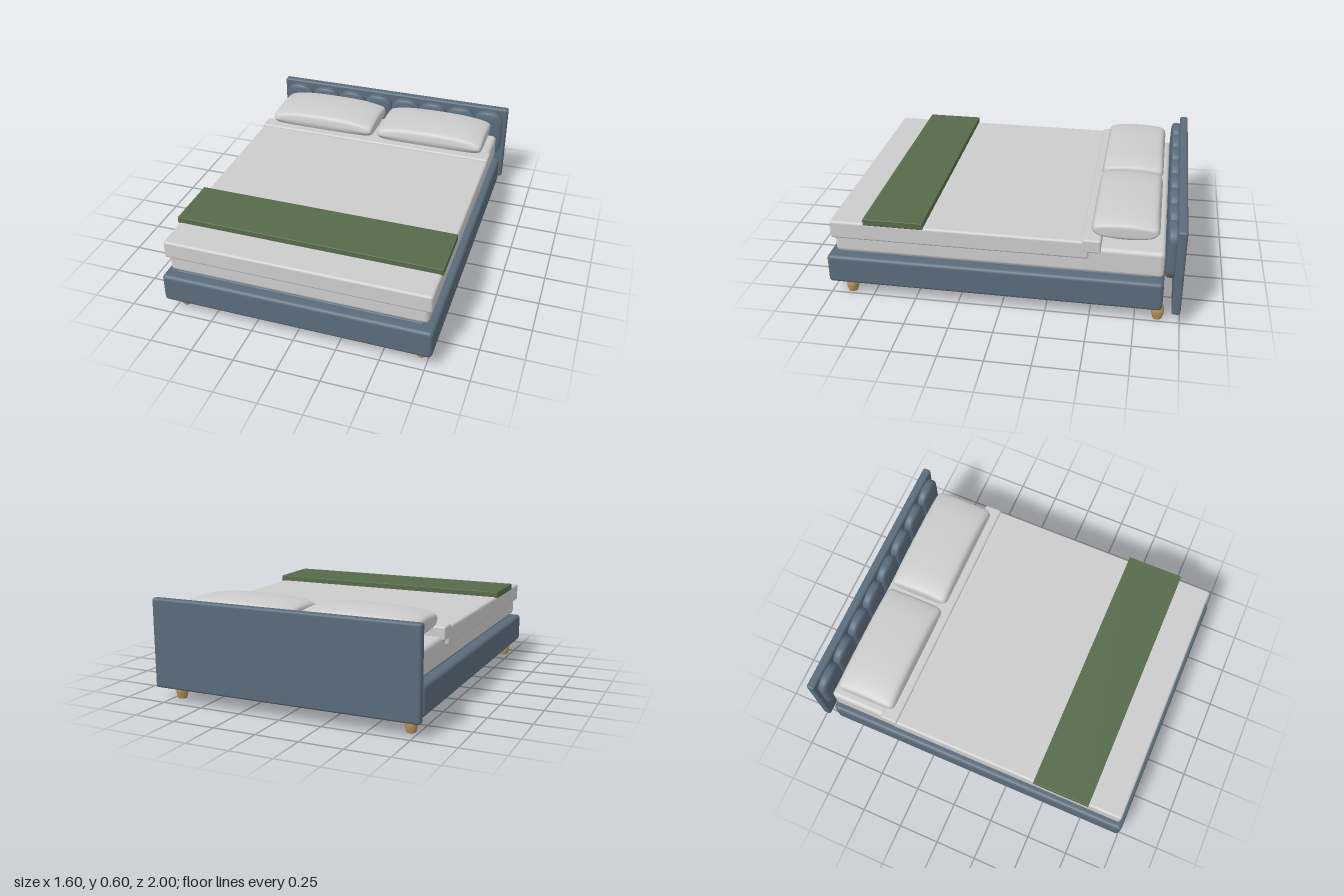
import * as THREE from 'three';
import { mergeVertices } from 'three/addons/utils/BufferGeometryUtils.js';
import { RoundedBoxGeometry } from 'three/addons/geometries/RoundedBoxGeometry.js';

const material = (name, color) => {
  const m = new THREE.MeshStandardMaterial({ color });
  m.name = name;
  return m;
};

// Finely divided rounded block whose points are then moved by shape(p, u, v, w), with u, v, w in -1..1
function softBlock(w, h, d, r, shape) {
  const g = new THREE.BoxGeometry(2, 2, 2, 20, 12, 20);
  g.deleteAttribute('normal');
  g.deleteAttribute('uv');
  const pos = g.attributes.position;
  const half = new THREE.Vector3(w / 2, h / 2, d / 2);
  const lo = half.clone().subScalar(r).negate();
  const hi = half.clone().subScalar(r);
  const p = new THREE.Vector3();
  const core = new THREE.Vector3();
  const ease = (t) => Math.sin(t * Math.PI / 2);
  for (let i = 0; i < pos.count; i++) {
    p.set(ease(pos.getX(i)), ease(pos.getY(i)), ease(pos.getZ(i))).multiply(half);
    core.copy(p).clamp(lo, hi);
    p.sub(core);
    if (p.lengthSq() > 0) p.setLength(r);
    p.add(core);
    shape(p, p.x / half.x, p.y / half.y, p.z / half.z);
    pos.setXYZ(i, p.x, p.y, p.z);
  }
  const merged = mergeVertices(g, 1e-5);
  merged.computeVertexNormals();
  return merged;
}

export function createModel() {
  const bed = new THREE.Group();
  bed.name = 'bed';
  const slate = material('slate upholstery', 0x5a6b7a);
  const linen = material('pale linen', 0xcbcbcb);
  const green = material('green throw', 0x566a4a);
  const wood = material('light wood', 0xb8935a);

  const add = (name, geometry, mat, x = 0, y = 0, z = 0) => {
    const mesh = new THREE.Mesh(geometry, mat);
    mesh.name = name;
    mesh.position.set(x, y, z);
    bed.add(mesh);
    return mesh;
  };
  // Rounded block given by its lower and upper limits
  const block = (name, mat, halfX, y0, y1, z0, z1, r) =>
    add(name, new RoundedBoxGeometry(halfX * 2, y1 - y0, z1 - z0, 4, r), mat, 0, (y0 + y1) / 2, (z0 + z1) / 2);

  // Upholstered frame, with a slight crown on its top and bottom
  block('bedBase', slate, 0.785, 0.087, 0.26, -0.9, 1.0, 0.022);
  block('baseCrown', slate, 0.72, 0.084, 0.27, -0.84, 0.94, 0.01);
  block('headboard', slate, 0.8, 0.083, 0.6, -1.0, -0.95, 0.014);

  // Padded channels with arched ends
  const channel = softBlock(0.194, 0.315, 0.066, 0.024, (p, u, v, w) => {
    p.y *= 1 - 0.34 * Math.abs(u) ** 3;
    if (w > 0) p.z -= 0.012 * w * u * u + 0.006 * w * v ** 4;
  });
  for (let i = 0; i < 8; i++) {
    add('headboardChannel', channel, slate, (i - 3.5) * 0.194, 0.428, -0.925);
  }

  // Bedding
  block('mattress', linen, 0.748, 0.275, 0.432, -0.895, 0.952, 0.025);
  block('duvet', linen, 0.767, 0.37, 0.478, -0.485, 0.97, 0.015);
  block('duvetFold', linen, 0.768, 0.41, 0.49, -0.55, -0.445, 0.012);
  block('throwBlanket', green, 0.775, 0.472, 0.511, 0.43, 0.77, 0.004);

  // Domed pillows, tucked in underneath
  const pillow = softBlock(0.69, 0.16, 0.37, 0.03, (p, u, v, w) => {
    const fall = 0.026 * u ** 4 + 0.01 * u * u + 0.018 * w * w;
    p.y -= v * fall;
    if (v < 0) p.z *= 1 + 0.16 * v;
    else p.z -= 0.012 * v * w * w * w;
  });
  for (const side of [-1, 1]) {
    add('pillow', pillow, linen, side * 0.365, 0.519, -0.674);
  }

  // Turned feet
  const footProfile = new THREE.SplineCurve([
    [0.026, 0], [0.031, 0.018], [0.036, 0.045], [0.034, 0.065], [0.028, 0.09],
  ].map(([r, y]) => new THREE.Vector2(r, y))).getPoints(14);
  const foot = new THREE.LatheGeometry([new THREE.Vector2(0, 0), new THREE.Vector2(0.025, 0), ...footProfile], 24);
  for (const x of [-0.708, 0.708]) {
    for (const z of [-0.877, 0.885]) add('foot', foot, wood, x, 0, z);
  }
  return bed;
}
